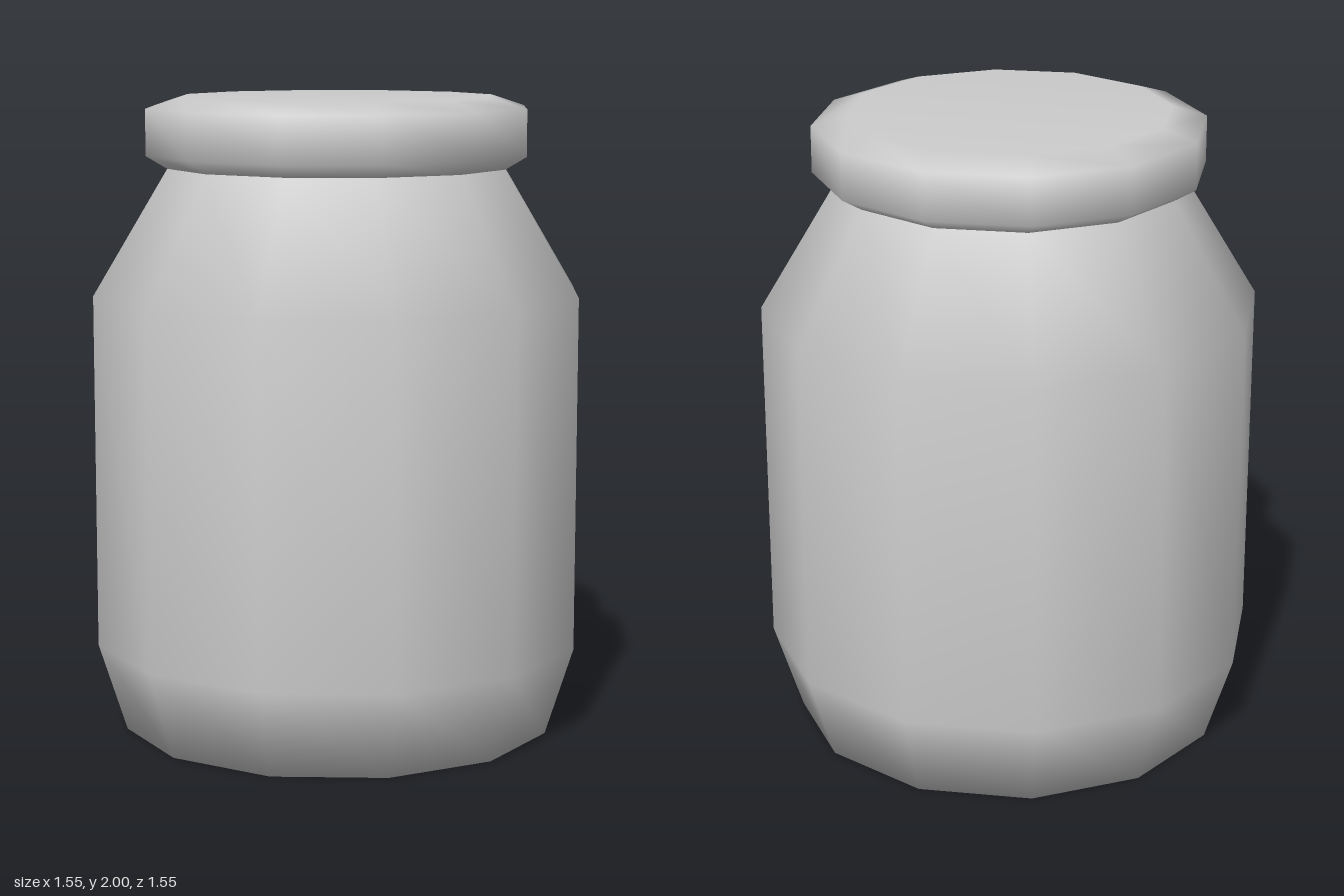
import * as THREE from 'three';

const SIDES = 12;

// Smooth twelve-sided turned part from [radius, height] pairs, bottom to top
function turned(name, profile) {
  const points = profile.map(([r, y]) => new THREE.Vector2(r, y));
  const material = new THREE.MeshStandardMaterial({ color: 0xcccccc, side: THREE.DoubleSide });
  const mesh = new THREE.Mesh(new THREE.LatheGeometry(points, SIDES), material);
  mesh.name = name;
  return mesh;
}

export function createModel() {
  const model = new THREE.Group();
  model.name = 'jar';

  // Body: closed base, tapered foot, straight wall and sloping shoulder
  model.add(turned('body', [
    [0, 0], [0.687, 0], [0.776, 0.28], [0.776, 1.39], [0.54, 1.78],
  ]));

  // Lid: flared underside, upright rim and shallow bevel up to the flat top
  model.add(turned('lid', [
    [0.54, 1.78], [0.607, 1.82], [0.607, 1.965], [0.5, 2], [0, 2],
  ]));

  return model;
}
